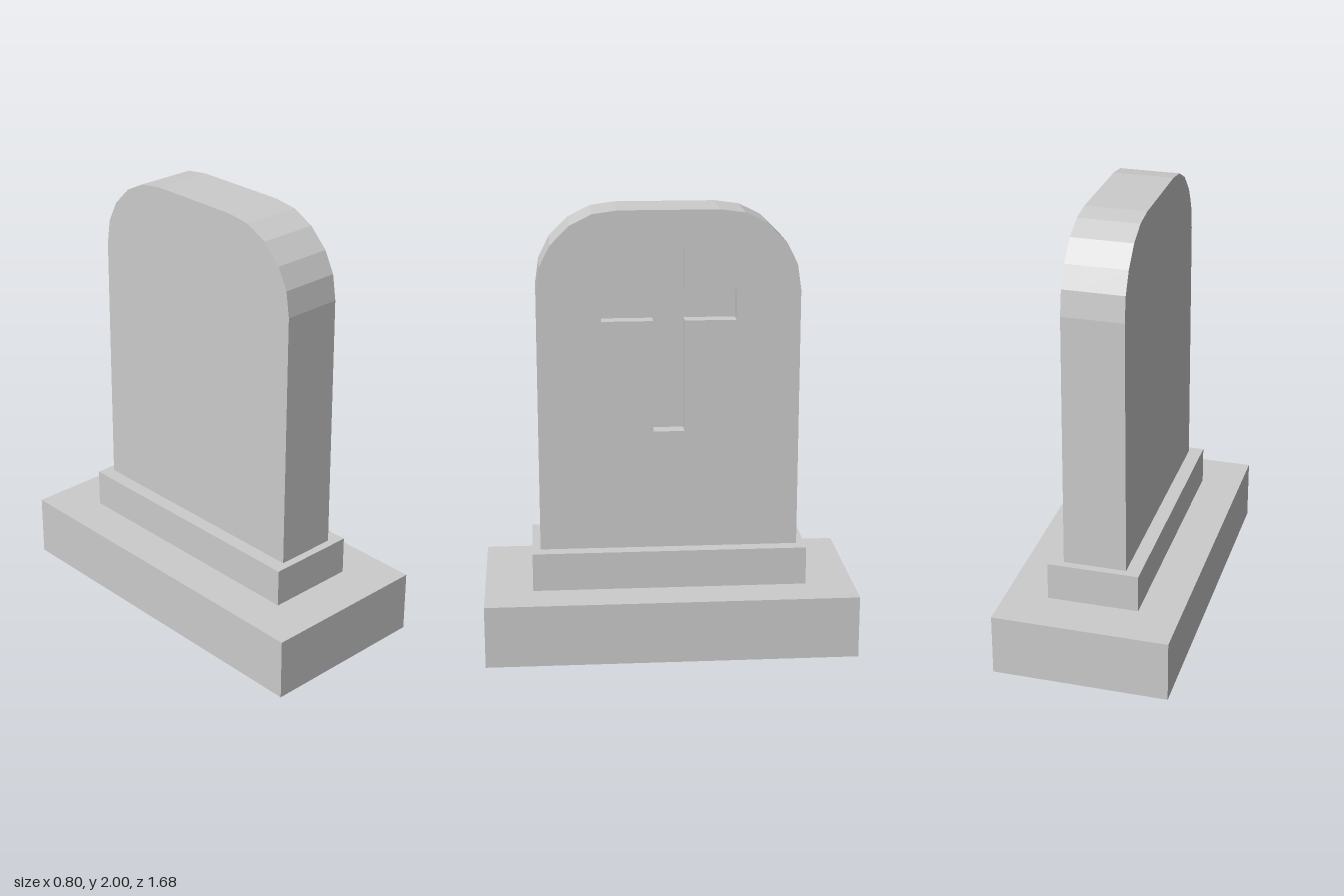
import * as THREE from 'three';

const material = new THREE.MeshStandardMaterial({ color: 0xcccccc, flatShading: true });

const SLAB_BOTTOM = 0.46, SLAB_TOP = 2;
const HALF_BOTTOM = 0.143, HALF_TOP = 0.137; // half thickness of the slab
const RECESS = 0.075;

function block(name, width, depth, y0, y1) {
  const mesh = new THREE.Mesh(new THREE.BoxGeometry(width, y1 - y0, depth), material);
  mesh.name = name;
  mesh.position.y = (y0 + y1) / 2;
  return mesh;
}

// Slab outline: straight sides and rounded shoulders, mirrored
function slabShape() {
  const half = [
    [0.585, SLAB_BOTTOM], [0.585, 1.64], [0.568, 1.755], [0.52, 1.85],
    [0.435, 1.935], [0.335, 1.985], [0.225, SLAB_TOP],
  ];
  const mirrored = half.map(([x, y]) => [-x, y]).reverse();
  return new THREE.Shape([...half, ...mirrored].map(([x, y]) => new THREE.Vector2(x, y)));
}

function crossPath() {
  const w = 0.07, arm = 0.3, bottom = 1.005, armLow = 1.51, armHigh = 1.65, top = 1.835;
  return new THREE.Path([
    [-w, bottom], [-w, armLow], [-arm, armLow], [-arm, armHigh], [-w, armHigh], [-w, top],
    [w, top], [w, armHigh], [arm, armHigh], [arm, armLow], [w, armLow], [w, bottom],
  ].map(([x, y]) => new THREE.Vector2(x, y)));
}

// Layer of the slab between two x positions, thinning slightly towards the top
function slabLayer(name, shape, x0, x1) {
  const geometry = new THREE.ExtrudeGeometry(shape, { depth: x1 - x0, bevelEnabled: false });
  geometry.translate(0, 0, x0);
  geometry.rotateY(Math.PI / 2);
  const p = geometry.attributes.position;
  for (let i = 0; i < p.count; i++) {
    const t = (p.getY(i) - SLAB_BOTTOM) / (SLAB_TOP - SLAB_BOTTOM);
    p.setX(i, p.getX(i) * THREE.MathUtils.lerp(1, HALF_TOP / HALF_BOTTOM, t));
  }
  geometry.computeVertexNormals();
  const mesh = new THREE.Mesh(geometry, material);
  mesh.name = name;
  return mesh;
}

export function createModel() {
  const model = new THREE.Group();
  model.name = 'gravestone';

  // Stepped footing
  model.add(block('base', 0.8, 1.68, 0, 0.285));
  model.add(block('plinth', 0.416, 1.244, 0.285, SLAB_BOTTOM));

  // Upright slab: solid body plus a face layer with the cross cut through it
  const slab = new THREE.Group();
  slab.name = 'slab';
  const faceShape = slabShape();
  faceShape.holes.push(crossPath());
  const split = HALF_BOTTOM - RECESS;
  slab.add(slabLayer('slabBody', slabShape(), -HALF_BOTTOM, split));
  slab.add(slabLayer('slabFaceWithCross', faceShape, split, HALF_BOTTOM));
  model.add(slab);

  return model;
}
